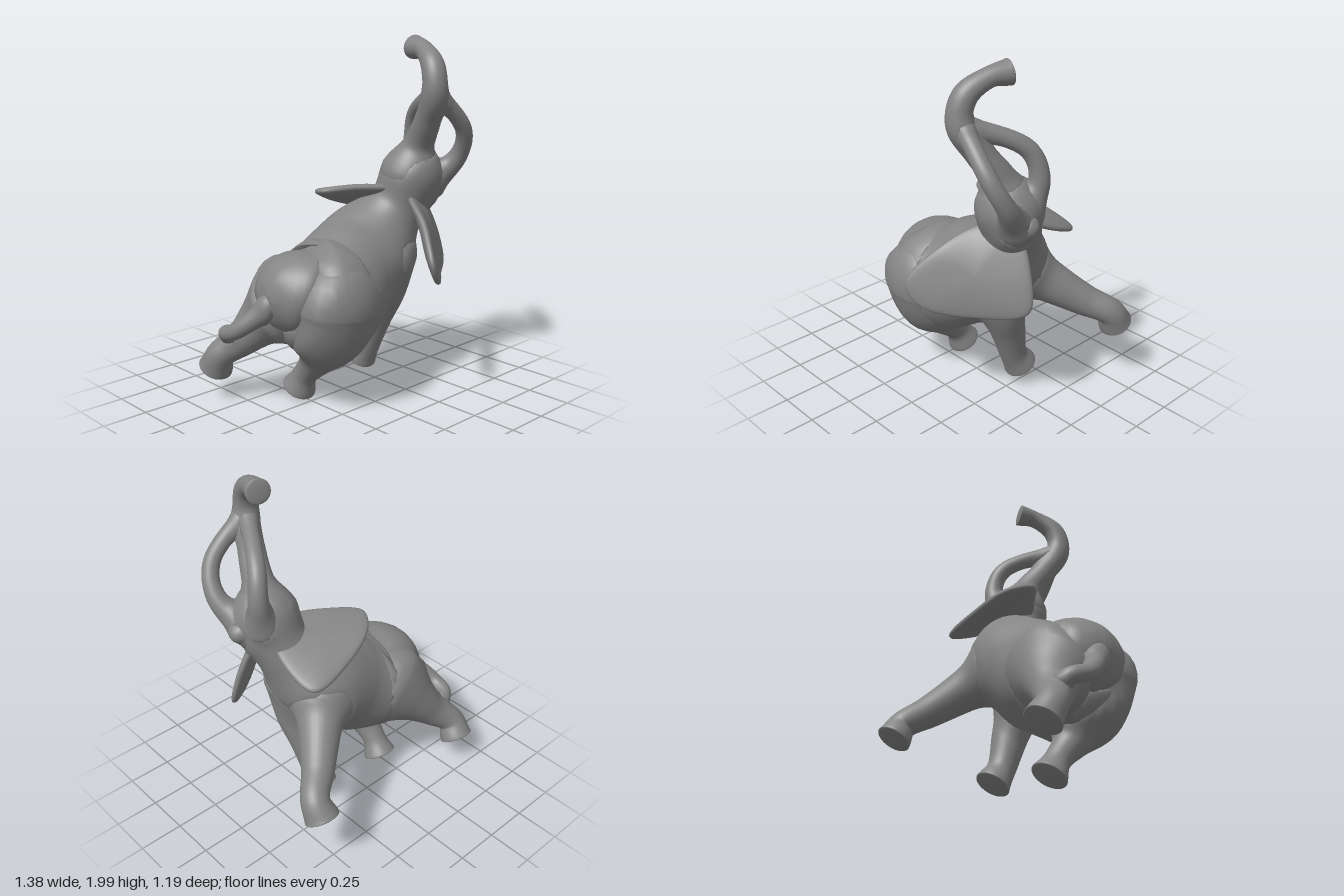
import * as THREE from 'three';

const V = (p) => new THREE.Vector3(p[0], p[1], p[2]);
const material = new THREE.MeshStandardMaterial({ color: 0x848484 });

// Skin a list of rings (each running counter-clockwise about the direction of travel)
function loft(name, rings) {
  const n = rings[0].length, pos = [], index = [];
  rings.forEach((ring) => ring.forEach((v) => pos.push(v.x, v.y, v.z)));
  for (let j = 0; j < rings.length - 1; j++) {
    for (let i = 0; i < n; i++) {
      const a = j * n + i, b = j * n + (i + 1) % n, c = a + n, d = b + n;
      index.push(a, b, c, b, d, c);
    }
  }
  const g = new THREE.BufferGeometry();
  g.setAttribute('position', new THREE.Float32BufferAttribute(pos, 3));
  g.setIndex(index);
  g.computeVertexNormals();
  const mesh = new THREE.Mesh(g, material);
  mesh.name = name;
  return mesh;
}

// Round limb through points [x, y, z, radius]; capEnd is the dome height relative to the radius.
// Returns the mesh with the spheres along its core, used for blending the joints.
function limb(name, pts, capEnd = 1, sides = 32) {
  const path = new THREE.CatmullRomCurve3(pts.map(V));
  const size = new THREE.CatmullRomCurve3(pts.map((p, i) => new THREE.Vector3(p[3], i, 0)));
  const steps = (pts.length - 1) * 9, capSteps = 8, rings = [], spheres = [], radii = [];
  const side = new THREE.Vector3(0.31, 0.17, 0.93);
  const addRing = (c, t, r, own) => {
    const other = new THREE.Vector3().crossVectors(t, side);
    rings.push(Array.from({ length: sides }, (_, i) => {
      const a = (i / sides) * Math.PI * 2;
      return c.clone().addScaledVector(side, r * Math.cos(a)).addScaledVector(other, r * Math.sin(a));
    }));
    radii.push(own);
  };
  for (let s = 0; s <= steps; s++) {
    const u = s / steps, c = path.getPoint(u), t = path.getTangent(u), r = size.getPoint(u).x;
    side.addScaledVector(t, -side.dot(t)).normalize();
    const dome = (k, height) => {
      const a = (k / capSteps) * Math.PI / 2;
      addRing(c.clone().addScaledVector(t, height * r * Math.sin(a)), t, Math.max(r * Math.cos(a), 1e-4), r);
    };
    if (s === 0) for (let k = capSteps; k > 0; k--) dome(k, -1);
    addRing(c, t, r, r);
    if (s === steps) for (let k = 1; k <= capSteps; k++) dome(k, capEnd);
    spheres.push({ c, r });
  }
  return { mesh: loft(name, rings), spheres, radii, sides };
}

// Leg from hip to ankle; the foot continues along the lean of the whole body to a flat sole
function leg(name, pts) {
  const [x, y, z] = pts[pts.length - 1];
  return limb(name, [...pts, [x, y - 0.089, z - 0.053, 0.096]], 0.15);
}

// Swell each limb where it meets another, so that the joints run together smoothly
function blend(limbs) {
  const moved = limbs.map((l) => {
    const { position, normal } = l.mesh.geometry.attributes;
    const out = position.clone(), p = new THREE.Vector3(), n = new THREE.Vector3();
    for (let i = 0; i < position.count; i++) {
      p.fromBufferAttribute(position, i);
      n.fromBufferAttribute(normal, i);
      const own = l.radii[Math.floor(i / l.sides)];
      let swell = 0;
      for (const o of limbs) {
        if (o === l) continue;
        let d = Infinity, r = 0;
        for (const s of o.spheres) {
          const ds = p.distanceTo(s.c) - s.r;
          if (ds < d) { d = ds; r = s.r; }
        }
        const k = Math.min(0.15, 0.9 * own, 0.9 * r);
        const h = Math.max(k - Math.abs(d), 0);
        swell = Math.max(swell, h * h / (4 * k));
      }
      p.addScaledVector(n, swell);
      out.setXYZ(i, p.x, p.y, p.z);
    }
    return out;
  });
  limbs.forEach((l, i) => {
    l.mesh.geometry.setAttribute('position', moved[i]);
    l.mesh.geometry.computeVertexNormals();
  });
}

// Thin padded flap filling a closed, gently bent outline
function flap(name, outline, thick) {
  const edge = new THREE.CatmullRomCurve3(outline.map(V), true).getPoints(56).slice(0, -1);
  const c = new THREE.Vector3(), n = new THREE.Vector3();
  edge.forEach((p) => c.addScaledVector(p, 1 / edge.length));
  edge.forEach((p, i) => {
    const q = edge[(i + 1) % edge.length];
    n.add(p.clone().sub(c).cross(q.clone().sub(c)));
  });
  n.normalize();
  const rings = [];
  for (let k = -10; k <= 10; k++) {
    const a = (k / 10) * Math.PI / 2;
    const h = Math.sign(k) * Math.pow(Math.abs(Math.sin(a)), 0.7) * thick;
    const w = Math.max(Math.cos(a), 1e-3);
    // the bend out of the plane fades with the square, so the middle stays smooth
    rings.push(edge.map((p) => {
      const bend = p.clone().sub(c).dot(n);
      return c.clone().lerp(p, w).addScaledVector(n, h + bend * (w * w - w));
    }));
  }
  return loft(name, rings);
}

export function createModel() {
  const g = new THREE.Group();
  g.name = 'elephant';

  // Torso running from the rump through the neck into the head
  const torso = limb('torsoAndHead', [
    [-0.34, 0.67, 0.01, 0.2], [-0.27, 0.645, 0.03, 0.295], [-0.12, 0.62, 0.03, 0.3],
    [0.05, 0.735, 0, 0.285], [0.19, 0.86, 0, 0.235], [0.33, 1.03, 0.07, 0.17], [0.405, 1.23, 0.15, 0.155],
  ], 1, 48);

  // Legs, listed from the hip or shoulder down to the ankle
  const hindRight = leg('hindRightLeg', [
    [-0.23, 0.6, 0.15, 0.235], [-0.24, 0.42, 0.13, 0.185], [-0.235, 0.26, 0.03, 0.1], [-0.24, 0.15, -0.06, 0.07],
  ]);
  const hindLeft = leg('hindLeftLeg', [
    [-0.28, 0.6, -0.11, 0.215], [-0.39, 0.48, -0.21, 0.155], [-0.5, 0.36, -0.29, 0.098], [-0.59, 0.275, -0.365, 0.08],
  ]);
  const frontRight = leg('frontRightLeg', [
    [0.24, 0.76, 0.08, 0.165], [0.27, 0.58, 0.06, 0.125], [0.255, 0.4, 0, 0.1], [0.245, 0.21, -0.06, 0.078],
  ]);
  const frontLeft = leg('frontLeftLeg', [
    [0.18, 0.79, -0.07, 0.18], [0.33, 0.67, -0.21, 0.125], [0.49, 0.54, -0.37, 0.09], [0.6, 0.47, -0.47, 0.078],
  ]);

  // Tail curling round onto the left hind leg
  const tail = limb('tail', [
    [-0.42, 0.72, 0.03, 0.08], [-0.54, 0.57, -0.06, 0.057], [-0.625, 0.46, -0.18, 0.045],
    [-0.61, 0.42, -0.28, 0.045], [-0.5, 0.37, -0.29, 0.045],
  ]);

  // Lower lip
  const lip = limb('lowerLip', [[0.46, 1.15, 0.16, 0.1], [0.555, 1.18, 0.16, 0.05]]);

  // Raised trunk with a flared tip
  const trunk = limb('trunk', [
    [0.365, 1.25, 0.14, 0.13], [0.38, 1.4, 0.2, 0.087], [0.34, 1.55, 0.3, 0.073], [0.295, 1.7, 0.385, 0.068],
    [0.305, 1.84, 0.36, 0.064], [0.355, 1.92, 0.25, 0.052], [0.39, 1.935, 0.15, 0.066],
  ], 0.15);

  // Tusks curving up from the mouth and merging into the trunk
  const rightTusk = limb('rightTusk', [
    [0.5, 1.18, 0.2, 0.08], [0.565, 1.34, 0.335, 0.052], [0.52, 1.49, 0.405, 0.046], [0.31, 1.71, 0.385, 0.045],
  ]);
  const leftTusk = limb('leftTusk', [
    [0.46, 1.22, 0.08, 0.08], [0.505, 1.4, 0.045, 0.055], [0.47, 1.55, 0.09, 0.048], [0.305, 1.7, 0.36, 0.045],
  ]);

  const limbs = [torso, hindRight, hindLeft, frontRight, frontLeft, tail, lip, trunk, rightTusk, leftTusk];
  blend(limbs);
  limbs.forEach((l) => g.add(l.mesh));

  // Ears
  g.add(flap('rightEar', [
    [0.28, 1.13, 0.23], [0.17, 1.02, 0.43], [0.08, 0.84, 0.58], [0.16, 0.72, 0.55],
    [0.4, 0.67, 0.35], [0.6, 0.72, 0.2], [0.58, 0.9, 0.16], [0.44, 1.14, 0.14],
  ], 0.035));
  g.add(flap('leftEar', [
    [0.25, 1.17, 0.13], [0.07, 1.18, 0.03], [-0.09, 1.16, -0.1], [-0.01, 1.13, -0.22],
    [0.2, 1.05, -0.295], [0.44, 0.99, -0.3], [0.475, 1.05, -0.13], [0.4, 1.16, 0.1],
  ], 0.035));

  return g;
}
